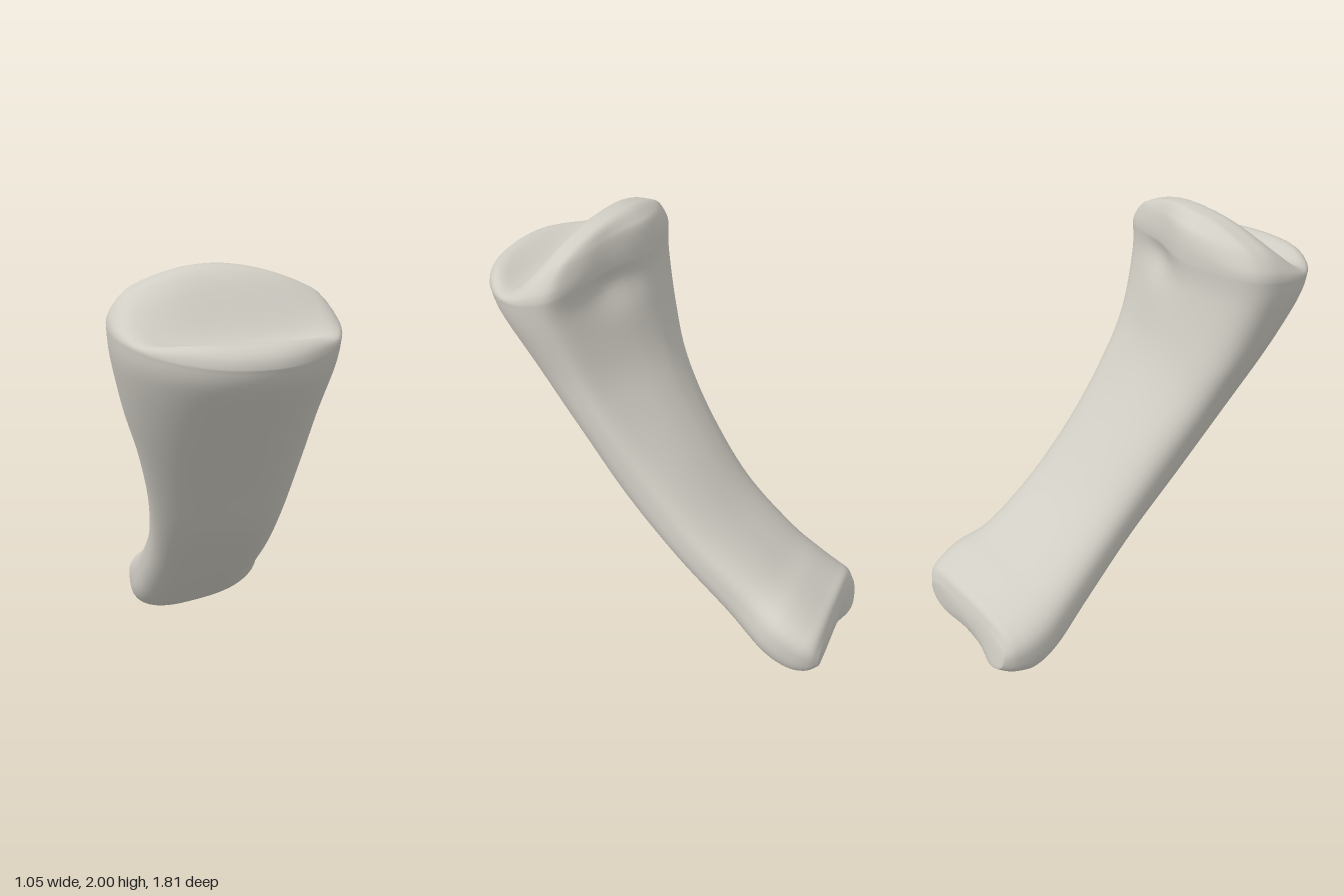
import * as THREE from 'three';

const SEG = 80;

// Shaft sections from the wide joint to the narrow one:
// front z, front y, back z, back y, -x edge, +x edge, sideways tilt, back skew, squareness, backward shift of widest line
const SECTIONS = [
  [0.915, 1.67, 0.208, 1.81, -0.53, 0.42, 0.00, 0.15, 2.1, 0.15],
  [0.875, 1.575, 0.203, 1.67, -0.515, 0.41, 0.00, 0.15, 2.1, 0.15],
  [0.71, 1.375, 0.14, 1.40, -0.445, 0.38, 0.00, 0.12, 2.2, 0.13],
  [0.45, 1.06, 0.05, 1.20, -0.355, 0.38, 0.00, 0.09, 2.3, 0.08],
  [0.20, 0.75, -0.11, 0.96, -0.27, 0.39, 0.00, 0.05, 2.4, 0.05],
  [-0.08, 0.48, -0.32, 0.70, -0.21, 0.42, 0.02, 0.02, 2.5, 0.04],
  [-0.36, 0.235, -0.56, 0.50, -0.195, 0.455, 0.06, 0, 2.6, 0.04],
  [-0.56, 0.08, -0.71, 0.42, -0.20, 0.515, 0.10, 0, 2.7, 0.04],
  [-0.70, 0.015, -0.80, 0.37, -0.19, 0.52, 0.10, 0, 2.8, 0.04],
  [-0.80, 0.025, -0.85, 0.34, -0.165, 0.50, 0.08, 0, 2.8, 0.02],
  [-0.862, 0.08, -0.868, 0.29, -0.125, 0.465, 0.06, 0, 2.6, 0],
];

const smooth = THREE.MathUtils.smoothstep;
const lerp = THREE.MathUtils.lerp;
const bump = (d, width) => Math.exp(-(d * d) / (width * width));
const power = (v, e) => Math.sign(v) * Math.abs(v) ** e;

// Smoothly interpolated section values at t in 0..1
function sectionAt(t) {
  const f = t * (SECTIONS.length - 1);
  const i = Math.min(Math.floor(f), SECTIONS.length - 2);
  const k = f - i;
  const at = (n) => SECTIONS[THREE.MathUtils.clamp(n, 0, SECTIONS.length - 1)];
  return SECTIONS[i].map((b, c) => {
    const a = at(i - 1)[c], d = at(i + 1)[c], e = at(i + 2)[c];
    return b + 0.5 * k * (d - a + k * (2 * a - 5 * b + 4 * d - e + k * (3 * (b - d) + e - a)));
  });
}

// Point on a section; u runs across, w from front (-1) to back (+1)
function sectionPoint(t, angle, scale = 1) {
  const [fz, fy, bz, by, x0, x1, tilt, skew, n, shift] = sectionAt(t);
  const squareness = Math.sin(angle) > 0 ? Math.max(n, 2.7) : n;
  const u = scale * power(Math.cos(angle), 2 / squareness);
  const w = scale * power(Math.sin(angle), 2 / squareness);
  const v = (w + 1) / 2 + shift * (1 - w * w);
  const end = smooth(t, 0.72, 0.95);
  // the narrow joint tapers toward its underside
  const taper = 1 + 0.1 * end * (v - 0.5);
  const x = (x0 + x1) / 2 + (u * taper * (x1 - x0)) / 2;
  let z = lerp(fz, bz, v) + skew * smooth(u, -0.25, 1) * v * v;
  let y = lerp(fy, by, v) + tilt * u * 0.5;
  // hollow under the back rim
  z += 0.04 * smooth(w, 0.5, 0.95) * bump(x - 0.08, 0.13) * bump(y - 1.74, 0.1);
  // groove between the two knuckles of the narrow joint
  y += 0.05 * end * (1 - v) * bump(x - 0.2, 0.15);
  // the lower knuckle reaches further back
  z -= 0.045 * smooth(t, 0.85, 1) * smooth(-u, 0.2, 0.9) * (1 - v);
  return { x, y, z, u, w, v };
}

// Saddle-shaped face of the wide joint
function socketHeight({ u, v }) {
  const lip = 0.045 * (1 - smooth(v, 0.08, 0.36));
  const crest = 0.29 * smooth(v, 0.35, 0.78) * (1 - 0.7 * u * u);
  const backDrop = 0.06 * smooth(v, 0.86, 1);
  return 1.712 + lip + crest - backDrop + 0.05 * u * u;
}

function boneGeometry() {
  const rows = [];
  const addRow = (fn) => {
    const row = [];
    for (let j = 0; j < SEG; j++) row.push(fn((j / SEG) * Math.PI * 2));
    rows.push(row);
  };

  // Hollow face with a rounded rim
  for (const s of [0, 0.08, 0.16, 0.24, 0.32, 0.4, 0.48, 0.56, 0.64, 0.71, 0.77, 0.82, 0.86, 0.9, 0.93, 0.96, 0.98, 0.993]) {
    const edge = Math.max(0, (s - 0.82) / 0.18);
    const blend = Math.sqrt(1 - edge * edge);
    addRow((a) => {
      const p = sectionPoint(0, a, s);
      return [p.x, lerp(p.y, socketHeight(p), blend), p.z];
    });
  }

  // Curved shaft
  const steps = 70;
  for (let i = 0; i <= steps; i++) {
    addRow((a) => {
      const p = sectionPoint(i / steps, a);
      return [p.x, p.y, p.z];
    });
  }

  // Gently domed face of the narrow joint
  for (const s of [0.94, 0.85, 0.7, 0.5, 0.25, 0]) {
    addRow((a) => {
      const p = sectionPoint(1, a, s);
      return [p.x, p.y, p.z - 0.012 * (1 - s * s)];
    });
  }

  const index = [];
  for (let i = 0; i < rows.length - 1; i++) {
    for (let j = 0; j < SEG; j++) {
      const a = i * SEG + j, b = i * SEG + ((j + 1) % SEG);
      const c = a + SEG, d = b + SEG;
      if (i < rows.length - 2) index.push(a, c, d);
      else index.push(a, c, b);
      if (i > 0 && i < rows.length - 2) index.push(a, d, b);
    }
  }
  const geometry = new THREE.BufferGeometry();
  geometry.setAttribute('position', new THREE.Float32BufferAttribute(rows.flat(2), 3));
  geometry.setIndex(index);
  geometry.computeVertexNormals();
  return geometry;
}

export function createModel() {
  const boneMaterial = new THREE.MeshStandardMaterial({ color: 0xd0cdc4 });
  boneMaterial.name = 'bone';

  const bone = new THREE.Mesh(boneGeometry(), boneMaterial);
  bone.name = 'fingerBone';

  const group = new THREE.Group();
  group.name = 'bone';
  group.add(bone);
  return group;
}
